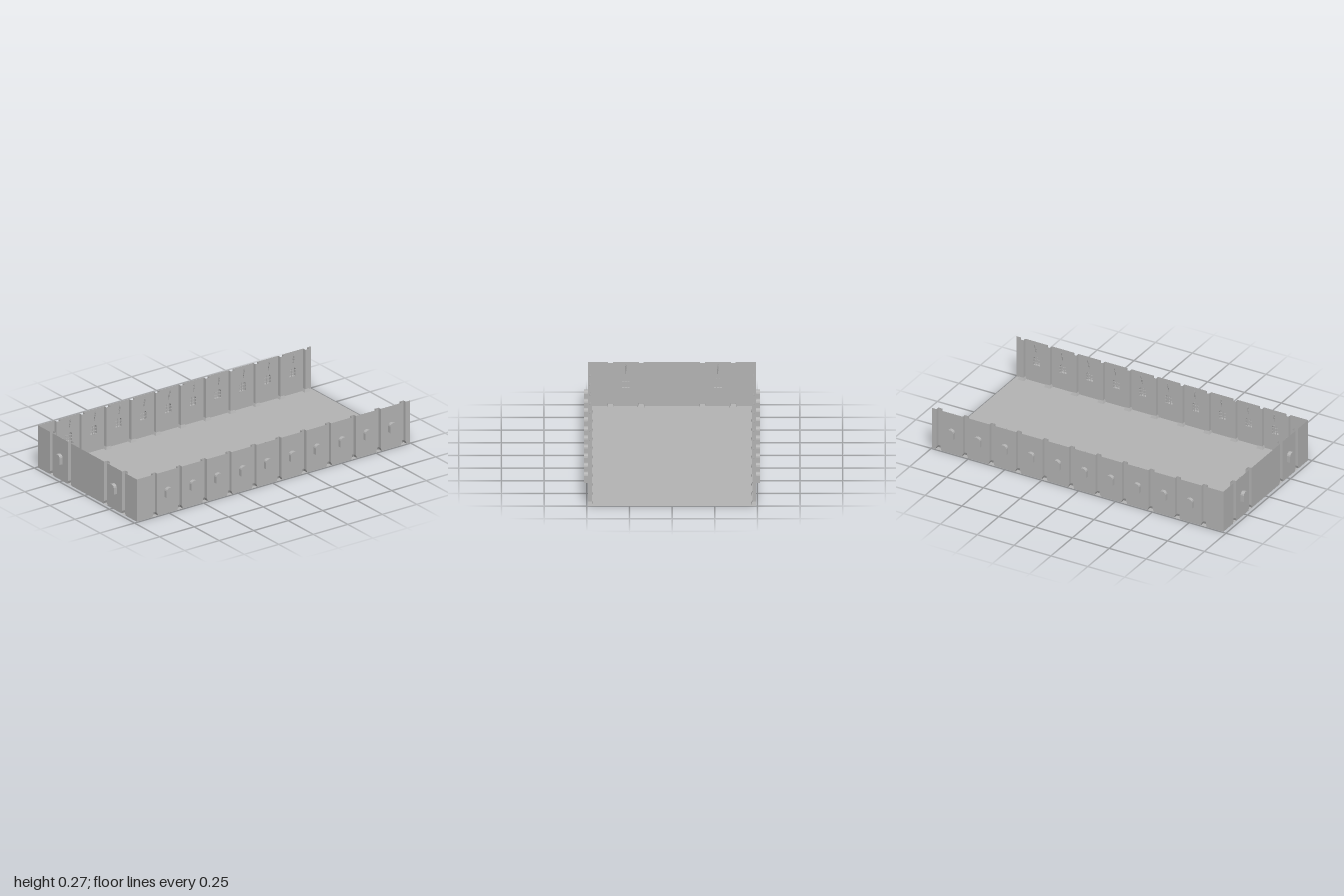
import * as THREE from 'three';

const H = 0.27, X0 = -0.978, X1 = 1, Z = 0.493;
const SHAFT = 0.014, FOOT = 0.021, FOOT_H = 0.018, DEPTH = 0.023;
const NICHE_W = 0.023, NICHE_Y = 0.108, SPRING = 0.15, RISE = 0.018, NICHE_D = 0.022;

const stone = new THREE.MeshStandardMaterial({ color: 0xb3b3b3, side: THREE.DoubleSide });
stone.name = 'greyStone';

function add(parent, name, geometry, x = 0, y = 0, z = 0) {
  const m = new THREE.Mesh(geometry, stone);
  m.name = name;
  m.position.set(x, y, z);
  parent.add(m);
  return m;
}

// Open faceted skin through a list of equal-length cross-sections
function loft(sections) {
  const pos = [];
  for (let i = 0; i < sections.length - 1; i++) {
    const a = sections[i], b = sections[i + 1];
    for (let j = 0; j < a.length - 1; j++) {
      pos.push(...a[j], ...a[j + 1], ...b[j + 1], ...a[j], ...b[j + 1], ...b[j]);
    }
  }
  const g = new THREE.BufferGeometry();
  g.setAttribute('position', new THREE.Float32BufferAttribute(pos, 3));
  g.computeVertexNormals();
  return g;
}

// Outline of the arched window, closed at the sill
function archPoints(u = 0) {
  const pts = [[u - NICHE_W, NICHE_Y], [u + NICHE_W, NICHE_Y]];
  for (let i = 0; i <= 6; i++) {
    const a = (i / 6) * Math.PI;
    pts.push([u + NICHE_W * Math.cos(a), SPRING + RISE * Math.sin(a)]);
  }
  return pts.map(([x, y]) => new THREE.Vector2(x, y));
}

// Channel-shaped pilaster, open to the outside, with a flared foot
const ring = (w, d, y) => [[-w, y, 0], [-w, y, -d], [w, y, -d], [w, y, 0]];
const pilasterGeo = loft([ring(FOOT, DEPTH + 0.007, 0), ring(SHAFT, DEPTH, FOOT_H), ring(SHAFT, DEPTH, H)]);

// Niche sides and back
const arch = archPoints();
const loop = [...arch, arch[0]];
const nicheSideGeo = loft([0, NICHE_D].map((z) => loop.map((p) => [p.x, p.y, z])));
const nicheBackGeo = new THREE.ShapeGeometry(new THREE.Shape(arch));

// Wall torch profile: pointed handle, cup and flame
const torchGeo = new THREE.LatheGeometry([
  [0, 0], [0.0015, 0.004], [0.002, 0.025], [0.005, 0.031], [0.005, 0.035],
  [0.0025, 0.038], [0.0045, 0.05], [0.003, 0.06], [0, 0.07],
].map(([r, y]) => new THREE.Vector2(r, y)), 6);

const BAR = 0.003;
const uprightGeo = new THREE.BoxGeometry(BAR, SPRING + RISE - NICHE_Y - 0.002, BAR);
const crossbarGeo = new THREE.BoxGeometry(NICHE_W * 2, BAR, BAR);

function windowBay(parent, u) {
  const bay = new THREE.Group();
  bay.name = 'windowBay';
  bay.position.x = u;
  parent.add(bay);
  add(bay, 'nicheSides', nicheSideGeo);
  add(bay, 'nicheBack', nicheBackGeo, 0, 0, NICHE_D);
  for (const x of [-0.0085, 0.0085]) {
    add(bay, 'windowUpright', uprightGeo, x, (NICHE_Y + SPRING + RISE) / 2 - 0.001, 0);
  }
  for (const y of [0.11, 0.13, 0.15]) add(bay, 'windowCrossbar', crossbarGeo, 0, y, 0);
  add(bay, 'wallTorch', torchGeo, 0, 0.195, -0.004).rotation.x = -0.2;
}

// Wall in its own plane: u runs along it, +z points outside
function makeWall(name, u0, u1, pillars, windows) {
  const wall = new THREE.Group();
  wall.name = name;
  const edges = [...pillars].sort((a, b) => a - b);
  for (let i = 0; i <= edges.length; i++) {
    const first = i === 0, last = i === edges.length;
    const l = first ? u0 : edges[i - 1], r = last ? u1 : edges[i];
    const lf = first ? 0 : FOOT, ls = first ? 0 : SHAFT;
    const rf = last ? 0 : FOOT, rs = last ? 0 : SHAFT;
    const s = new THREE.Shape([
      [l + lf, 0], [r - rf, 0], [r - rs, FOOT_H], [r - rs, H], [l + ls, H], [l + ls, FOOT_H],
    ].map(([x, y]) => new THREE.Vector2(x, y)));
    for (const w of windows) {
      if (w > l && w < r) s.holes.push(new THREE.Path(archPoints(w).reverse()));
    }
    add(wall, 'wallPanel', new THREE.ShapeGeometry(s));
  }
  for (const p of pillars) add(wall, 'pilaster', pilasterGeo, p);
  for (const w of windows) windowBay(wall, w);
  return wall;
}

export function createModel() {
  const model = new THREE.Group();
  model.name = 'openHall';

  const floorGeo = new THREE.PlaneGeometry(X1 - X0, Z * 2).rotateX(-Math.PI / 2);
  add(model, 'floor', floorGeo, (X0 + X1) / 2, 0, 0);

  const pillars = Array.from({ length: 11 }, (_, i) => -0.845 + i * 0.18);
  const windows = Array.from({ length: 10 }, (_, i) => -0.755 + i * 0.18);
  const neg = (list) => list.map((v) => -v);

  const front = makeWall('frontWall', X0, X1, pillars, windows);
  front.position.z = Z;

  const back = makeWall('backWall', -X1, -X0, neg(pillars), neg(windows));
  back.position.z = -Z;
  back.rotation.y = Math.PI;

  const end = makeWall('endWall', -Z, Z, [-0.36, -0.18, 0.18, 0.36], [-0.27, 0.27]);
  end.position.x = X0;
  end.rotation.y = -Math.PI / 2;

  model.add(front, back, end);
  return model;
}
